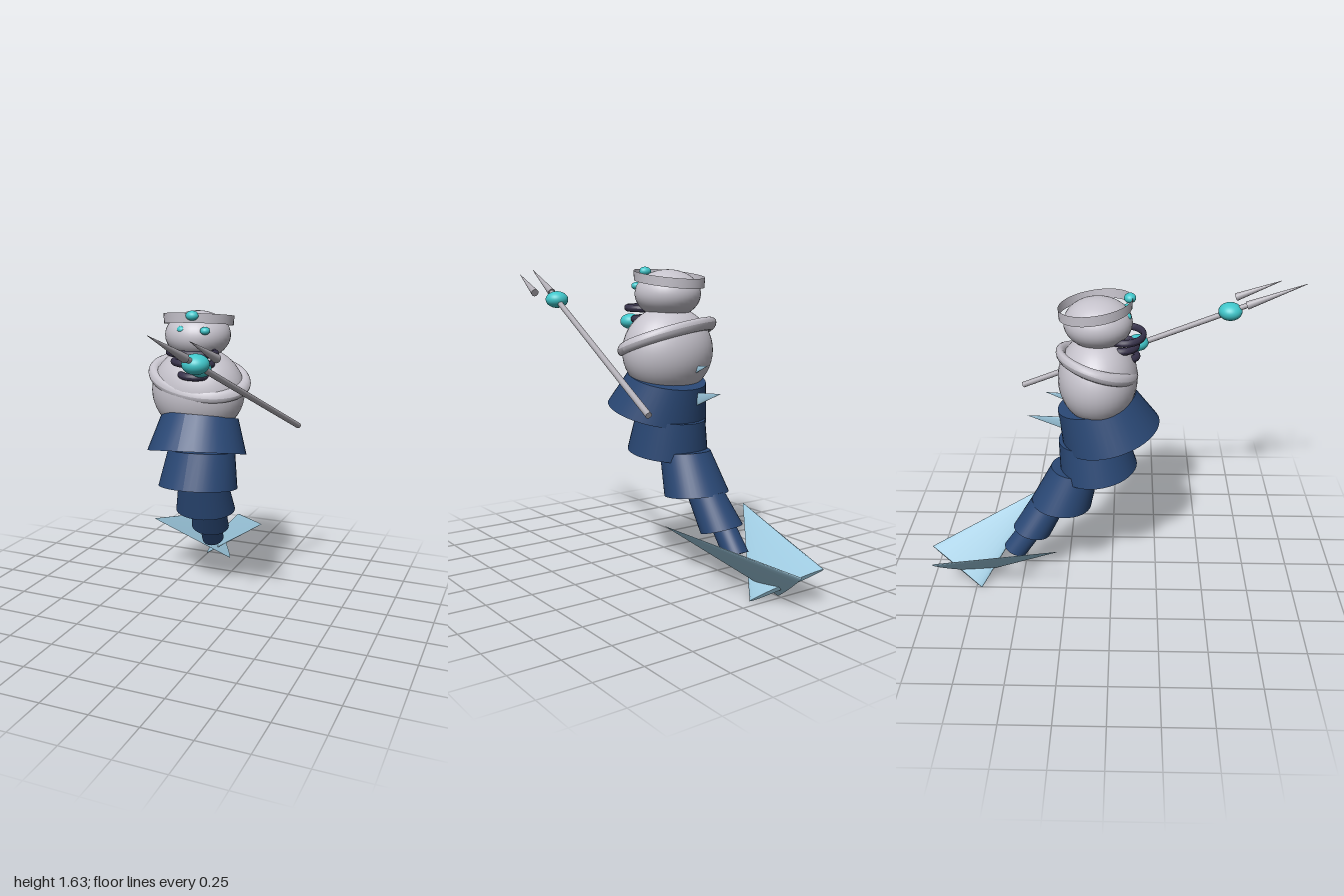
import * as THREE from 'three';

const mat = (name, color, side = THREE.FrontSide) => {
  const m = new THREE.MeshStandardMaterial({ color, side });
  m.name = name;
  return m;
};
const V = (p) => new THREE.Vector3(...p);

export function createModel() {
  const model = new THREE.Group();
  model.name = 'tailedGuardian';

  const pearl = mat('pearl', 0xc6c3cc);
  const pearlShell = mat('pearlShell', 0xc6c3cc, THREE.DoubleSide);
  const silver = mat('silver', 0xb0adb4);
  const navy = mat('navy', 0x2a4875, THREE.DoubleSide);
  const teal = mat('teal', 0x40c6ca);
  const plum = mat('plum', 0x37324a);
  const finBlue = mat('finBlue', 0x9dc9df, THREE.DoubleSide);

  const add = (name, geo, material, pos = [0, 0, 0]) => {
    const mesh = new THREE.Mesh(geo, material);
    mesh.name = name;
    mesh.position.set(...pos);
    model.add(mesh);
    return mesh;
  };

  // Ellipsoid with its three radii
  const ball = (name, pos, rx, ry, rz, material) =>
    add(name, new THREE.SphereGeometry(1, 36, 24).scale(rx, ry, rz), material, pos);

  // Horizontal ring, leaned by the slopes sx and sz
  const ring = (name, pos, rx, rz, tube, sx, sz, material) => {
    const geo = new THREE.TorusGeometry(rx, tube, 14, 48).rotateX(Math.PI / 2).scale(1, 1, rz / rx);
    const p = geo.attributes.position;
    for (let i = 0; i < p.count; i++) p.setY(i, p.getY(i) + sx * p.getX(i) + sz * p.getZ(i));
    geo.computeVertexNormals();
    return add(name, geo, material, pos);
  };

  // Band between two leaned circles: top and bottom are [x, y, z, rx, rz, slopeX, slopeZ]
  const band = (name, top, bottom, material, open) => {
    const geo = new THREE.CylinderGeometry(1, 1, 1, 40, 1, open);
    const p = geo.attributes.position;
    for (let i = 0; i < p.count; i++) {
      const [x, y, z, rx, rz, sx, sz] = p.getY(i) > 0 ? top : bottom;
      const dx = p.getX(i) * rx, dz = p.getZ(i) * rz;
      p.setXYZ(i, x + dx, y + sx * dx + sz * dz, z + dz);
    }
    geo.computeVertexNormals();
    return add(name, geo, material);
  };

  // Round bar or cone between two points
  const rod = (name, from, to, r0, r1, material) => {
    const a = V(from), b = V(to), dir = b.clone().sub(a);
    const mesh = add(name, new THREE.CylinderGeometry(r1, r0, dir.length(), 16), material);
    mesh.position.copy(a).add(b).multiplyScalar(0.5);
    mesh.quaternion.setFromUnitVectors(new THREE.Vector3(0, 1, 0), dir.normalize());
    return mesh;
  };

  // Flattened cone from a base line to a tip
  const fin = (name, tip, baseA, baseB, thick) => {
    const a = V(baseA), b = V(baseB);
    const mid = a.clone().add(b).multiplyScalar(0.5);
    const across = b.clone().sub(a).multiplyScalar(0.5);
    const along = V(tip).sub(mid);
    const normal = across.clone().cross(along).normalize().multiplyScalar(thick);
    const geo = new THREE.ConeGeometry(1, 1, 24).translate(0, 0.5, 0);
    geo.applyMatrix4(new THREE.Matrix4().makeBasis(across, along, normal).setPosition(mid));
    return add(name, geo, finBlue);
  };

  // Head with its leaning hat band, eyes and hat jewel
  ball('head', [-0.04, 1.497, -0.07], 0.173, 0.126, 0.173, pearl);
  band('hatBand', [-0.04, 1.6, -0.083, 0.186, 0.185, 0.02, 0.143],
    [-0.04, 1.55, -0.083, 0.183, 0.183, 0.03, 0.143], pearlShell, true);
  ball('hatJewel', [-0.005, 1.612, 0.088], 0.034, 0.025, 0.03, teal);
  ball('rightEye', [-0.07, 1.537, 0.07], 0.026, 0.02, 0.026, teal);
  ball('leftEye', [0.06, 1.537, 0.075], 0.026, 0.02, 0.026, teal);

  // Torso and the sash ring around it
  ball('torso', [-0.04, 1.2, -0.073], 0.255, 0.235, 0.205, pearl);
  ring('sash', [-0.035, 1.275, -0.075], 0.248, 0.184, 0.034, -0.155, -0.32, pearl);

  // Collar rings and chest jewel
  ring('upperCollar', [-0.015, 1.422, 0.065], 0.122, 0.094, 0.019, 0, 0.03, plum);
  ring('middleCollar', [-0.02, 1.368, 0.045], 0.1, 0.08, 0.019, -0.04, 0, plum);
  ring('lowerCollar', [-0.005, 1.308, 0.06], 0.07, 0.066, 0.019, -0.03, -0.05, plum);
  ball('chestJewel', [0.06, 1.35, 0.13], 0.055, 0.041, 0.055, teal);

  // Tail of overlapping flared segments, curving backwards
  const segments = [
    [[-0.03, 1.064, -0.08, 0.205, 0.204, 0, 0.24], [-0.02, 0.876, -0.005, 0.268, 0.255, 0.06, 0.26]],
    [[-0.035, 0.862, -0.107, 0.185, 0.177, 0.02, 0.14], [-0.042, 0.665, -0.072, 0.219, 0.206, 0.02, 0.14]],
    [[-0.065, 0.683, -0.195, 0.135, 0.13, 0, -0.06], [-0.08, 0.469, -0.276, 0.171, 0.163, -0.02, -0.1]],
    [[-0.09, 0.475, -0.343, 0.095, 0.095, -0.03, -0.2], [-0.117, 0.308, -0.44, 0.113, 0.1, -0.08, -0.27]],
    [[-0.125, 0.325, -0.44, 0.06, 0.06, 0, -0.4], [-0.136, 0.19, -0.535, 0.065, 0.06, 0, -0.45]],
  ];
  segments.forEach(([top, bottom], i) => band('tailSegment' + (i + 1), top, bottom, navy, false));

  // Crossed tail flukes
  fin('leftFluke', [0.22, 0.37, -0.405], [-0.14, 0.2, -1.0], [-0.255, 0.005, -0.72], 0.014);
  fin('rightFluke', [-0.406, 0.365, -0.27], [-0.315, 0.2, -0.97], [-0.086, 0.005, -0.7], 0.014);

  // Small back spines
  fin('upperSpine', [-0.1, 1.14, -0.34], [-0.085, 1.125, -0.2], [-0.085, 1.07, -0.2], 0.008);
  fin('lowerSpine', [-0.1, 1.006, -0.44], [-0.085, 0.99, -0.2], [-0.085, 0.9, -0.2], 0.008);

  // Spear with its orb and two prongs
  const orb = [0.238, 1.457, 0.615];
  rod('spearShaft', [0.39, 0.952, -0.515], orb, 0.016, 0.015, silver);
  ball('spearOrb', orb, 0.064, 0.047, 0.063, teal);
  rod('spearNeck', orb, [0.222, 1.505, 0.72], 0.014, 0.014, silver);
  rod('mainProng', [0.224, 1.495, 0.7], [0.19, 1.625, 0.995], 0.022, 0.001, silver);
  rod('sideProng', [0.355, 1.495, 0.655], [0.328, 1.596, 0.887], 0.021, 0.001, silver);

  return model;
}
